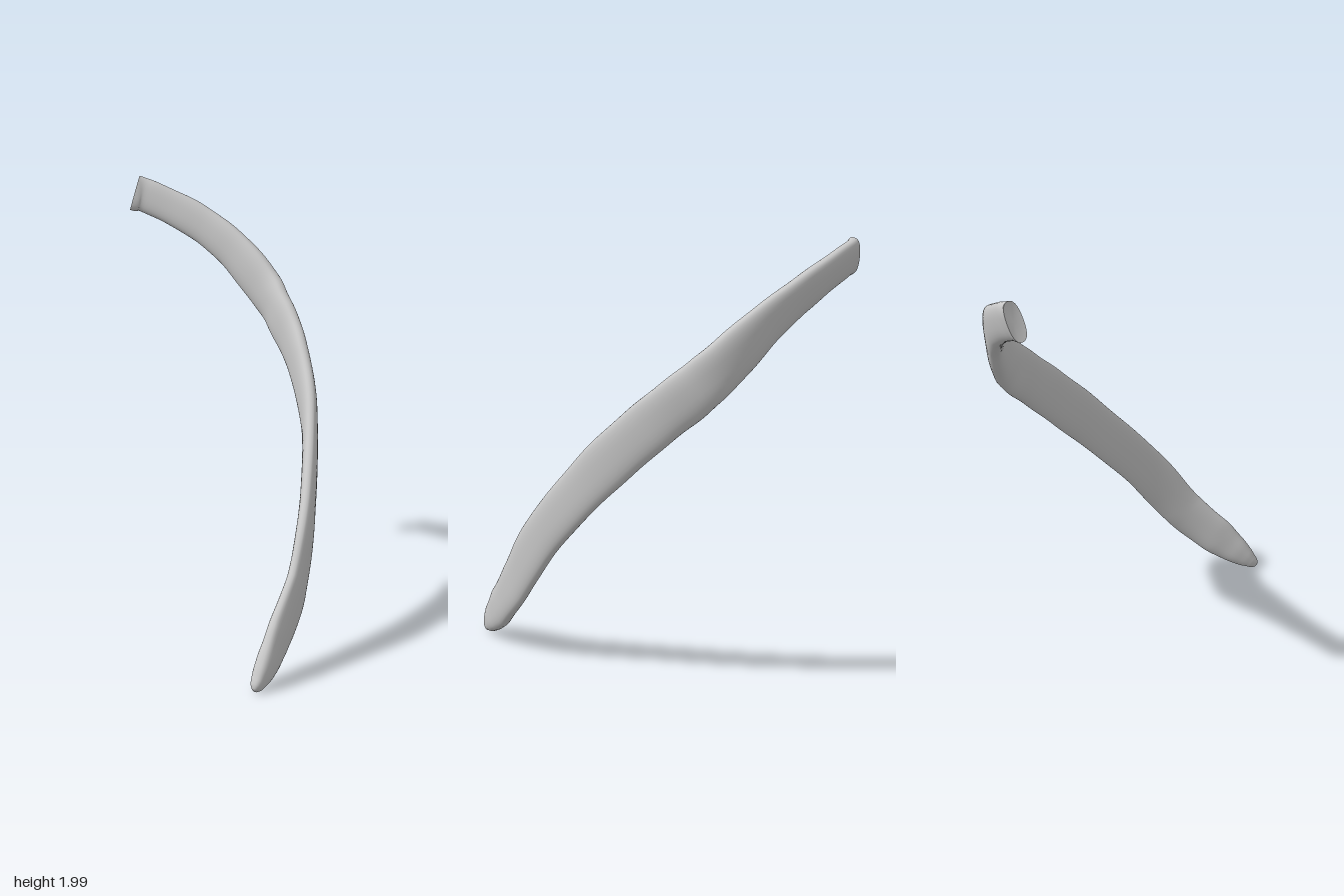
import * as THREE from 'three';

// Stations along the bone: centre x, y, z, then height, thickness, lean
const STATIONS = [
  [-0.757, 1.916, -0.348, 0.175, 0.075, 0.22],
  [-0.70, 1.895, -0.395, 0.165, 0.07, 0.24],
  [-0.50, 1.795, -0.49, 0.17, 0.075, 0.22],
  [-0.30, 1.665, -0.54, 0.185, 0.08, 0.1],
  [-0.10, 1.49, -0.548, 0.215, 0.09, 0],
  [0.03, 1.37, -0.51, 0.225, 0.085, 0],
  [0.20, 1.21, -0.42, 0.23, 0.078, 0],
  [0.40, 0.965, -0.25, 0.225, 0.072, 0],
  [0.58, 0.645, 0.0, 0.215, 0.07, 0],
  [0.675, 0.365, 0.2, 0.21, 0.07, 0],
  [0.716, 0.19, 0.38, 0.19, 0.075, 0],
  [0.736, 0.095, 0.49, 0.135, 0.08, 0],
  [0.745, 0.04, 0.56, 0.07, 0.06, 0],
];
const RINGS = 120, SIDES = 32;

const spline = (from) => new THREE.CatmullRomCurve3(
  STATIONS.map((s) => new THREE.Vector3(s[from], s[from + 1], s[from + 2])), false, 'catmullrom', 0.5);
const power = (v, e) => Math.sign(v) * Math.abs(v) ** e;

// One cross-section: a rounded blade standing across the path
function ringAt(t, path, sizes) {
  const c = path.getPoint(t), tan = path.getTangent(t), size = sizes.getPoint(t);
  const out = new THREE.Vector3(tan.z, 0, -tan.x).normalize();
  const up = new THREE.Vector3().crossVectors(tan, out).normalize();
  out.applyAxisAngle(tan, size.z * -1);
  up.applyAxisAngle(tan, size.z * -1);
  const ripple = 1 + 0.02 * Math.sin(t * 70) * Math.sin(t * 23 + 1);
  const points = [];
  for (let j = 0; j < SIDES; j++) {
    const a = (j / SIDES) * Math.PI * 2;
    points.push(c.clone()
      .addScaledVector(out, power(Math.cos(a), 0.8) * size.y / 2 * ripple)
      .addScaledVector(up, power(Math.sin(a), 0.85) * size.x / 2 * ripple));
  }
  return { points, c, tan };
}

function build(points, index) {
  const g = new THREE.BufferGeometry().setFromPoints(points);
  g.setIndex(index);
  g.computeVertexNormals();
  return g;
}

export function createModel() {
  const group = new THREE.Group();
  group.name = 'rib';
  const bone = new THREE.MeshStandardMaterial({ color: 0xc8c8c8 });
  bone.name = 'bone grey';
  const path = spline(0), sizes = spline(3);
  const rings = [];
  for (let i = 0; i <= RINGS; i++) rings.push(ringAt(i / RINGS, path, sizes));

  // Curved shaft with a rounded tip
  const points = rings.flatMap((r) => r.points);
  const index = [];
  const last = rings[RINGS];
  for (const [scale, push] of [[0.8, 0.018], [0.45, 0.032]]) {
    for (const p of last.points) {
      points.push(p.clone().sub(last.c).multiplyScalar(scale).add(last.c).addScaledVector(last.tan, push));
    }
  }
  const total = RINGS + 2;
  for (let i = 0; i < total; i++) {
    for (let j = 0; j < SIDES; j++) {
      const k = (j + 1) % SIDES;
      const a = i * SIDES + j, b = i * SIDES + k;
      index.push(a, b, a + SIDES, b, b + SIDES, a + SIDES);
    }
  }
  const pole = points.push(last.c.clone().addScaledVector(last.tan, 0.037)) - 1;
  for (let j = 0; j < SIDES; j++) index.push(total * SIDES + j, total * SIDES + (j + 1) % SIDES, pole);
  const shaft = new THREE.Mesh(build(points, index), bone);
  shaft.name = 'shaft';

  // Slightly hollow face at the upper end
  const first = rings[0];
  const capPoints = [...first.points, first.c.clone().addScaledVector(first.tan, 0.015)];
  const capIndex = [];
  for (let j = 0; j < SIDES; j++) capIndex.push(SIDES, (j + 1) % SIDES, j);
  const cap = new THREE.Mesh(build(capPoints, capIndex), bone);
  cap.name = 'endFace';

  group.add(shaft, cap);
  return group;
}
